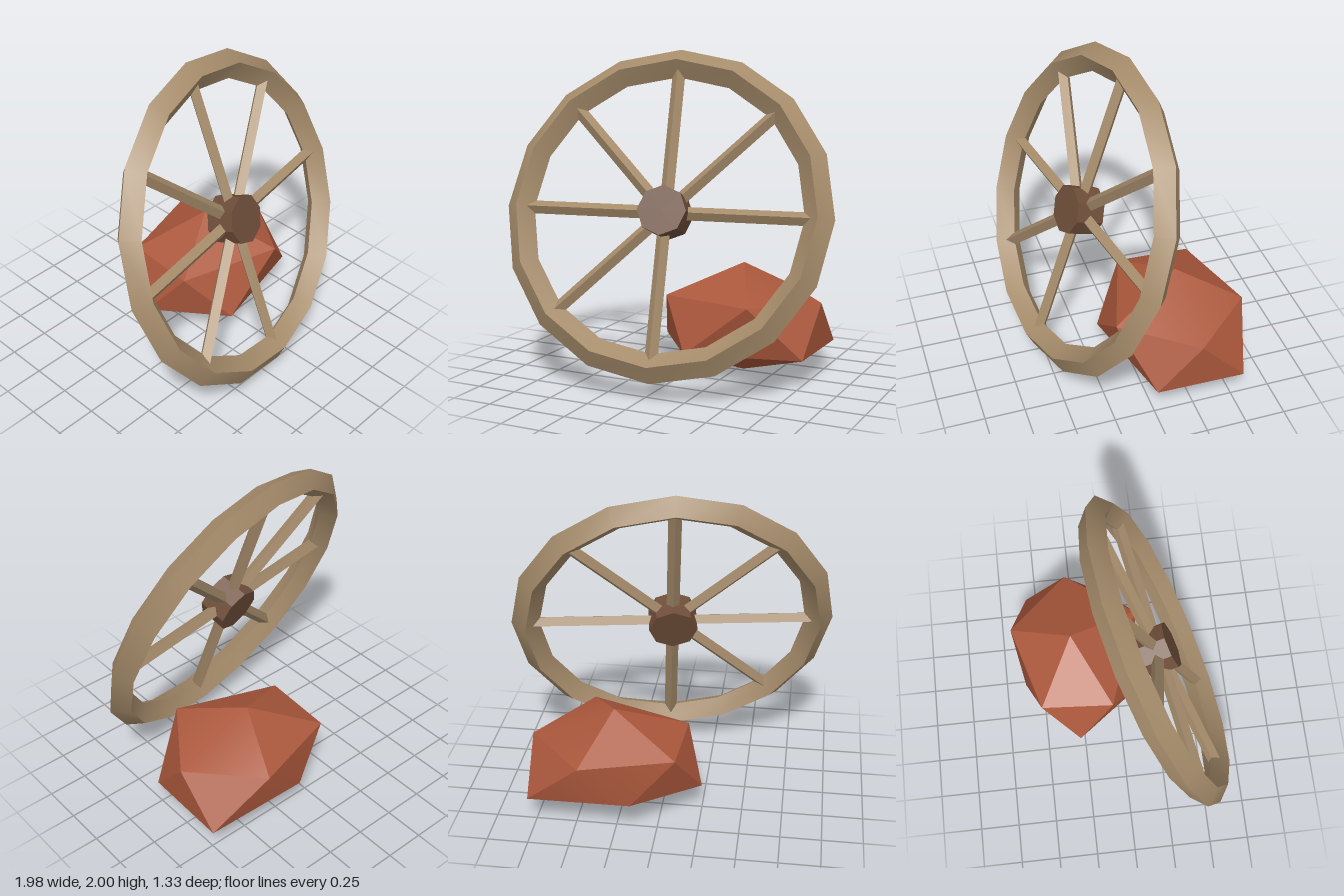
import * as THREE from 'three';
import { toCreasedNormals } from 'three/addons/utils/BufferGeometryUtils.js';
import { ConvexGeometry } from 'three/addons/geometries/ConvexGeometry.js';

const material = (name, color) => {
  const m = new THREE.MeshStandardMaterial({ color });
  m.name = name;
  return m;
};

export function createModel() {
  const wood = material('weathered wood', 0xa58b6a);
  const darkWood = material('dark wood', 0x6f4e3a);
  const clay = material('red rock', 0xab583c);

  const part = (name, geometry, mat) => {
    const mesh = new THREE.Mesh(toCreasedNormals(geometry, Math.PI / 6), mat);
    mesh.name = name;
    return mesh;
  };

  const model = new THREE.Group();
  model.name = 'brokenWheelAndRock';

  // Wheel, leaning back and turned a little to one side
  const wheel = new THREE.Group();
  wheel.name = 'wheel';
  wheel.position.set(0, 1.055, 0.24);
  wheel.rotation.set(-0.345, 0.17, 0, 'YXZ');
  model.add(wheel);

  // Rim with a diamond cross-section
  wheel.add(part('rim', new THREE.TorusGeometry(0.919, 0.087, 4, 16), wood));

  // Eight-sided hub
  wheel.add(part('hub', new THREE.CylinderGeometry(0.15, 0.15, 0.18, 8).rotateX(Math.PI / 2), darkWood));

  // Square spokes set on edge; the lower one on the model's left is missing
  const length = 0.875;
  for (let i = 0; i < 8; i++) {
    if (i === 5) continue;
    const spoke = new THREE.CylinderGeometry(0.04, 0.04, length, 4).translate(0, length / 2, 0);
    spoke.rotateZ(i * Math.PI / 4);
    wheel.add(part('spoke' + i, spoke, wood));
  }

  // Rock: an uneven twelve-cornered block
  const corners = [
    [0.29, 0.69, -0.28],
    // upper ring
    [0.80, 0.48, -0.28], [0.45, 0.49, -0.67], [-0.11, 0.49, -0.51], [-0.14, 0.485, -0.05], [0.49, 0.505, 0.16],
    // lower ring
    [-0.25, 0.18, -0.28], [0.15, 0.22, -0.61], [0.79, 0.18, -0.56], [0.78, 0.18, -0.01], [0.08, 0.18, 0.16],
    [0.29, 0, -0.28],
  ].map((c) => new THREE.Vector3(...c));
  model.add(part('rock', new ConvexGeometry(corners), clay));

  return model;
}
